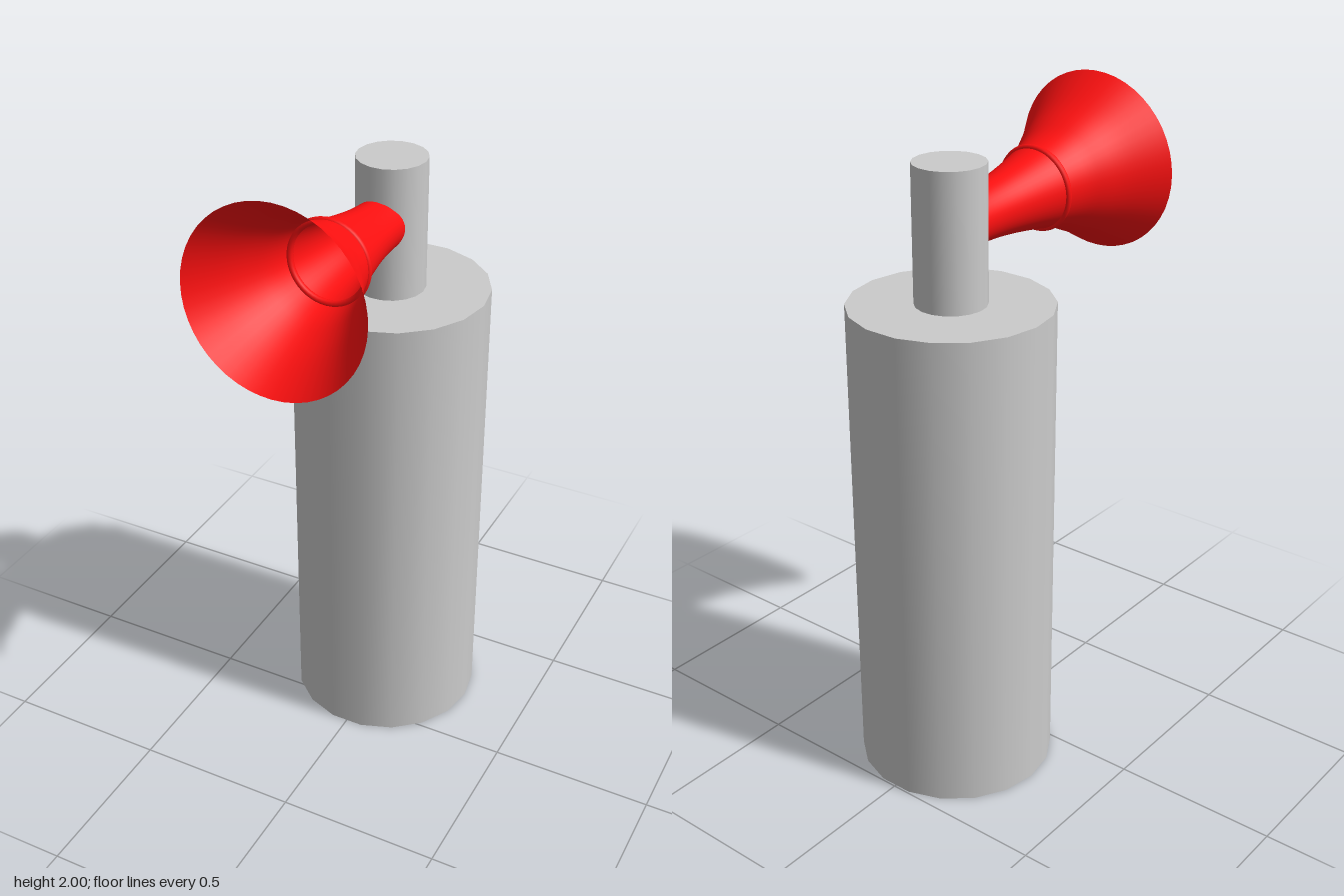
import * as THREE from 'three';

const AXIS_Z = -0.203;

export function createModel() {
  const model = new THREE.Group();
  model.name = 'airHorn';
  const grey = new THREE.MeshStandardMaterial({ color: 0xcccccc });
  const red = new THREE.MeshStandardMaterial({ color: 0xff1010, side: THREE.DoubleSide });

  // Upright 18-sided cylinders, with a corner on each side
  const cylinder = (name, radius, bottom, top) => {
    const mesh = new THREE.Mesh(new THREE.CylinderGeometry(radius, radius, top - bottom, 18), grey);
    mesh.name = name;
    mesh.rotation.y = Math.PI / 2;
    mesh.position.set(0, (bottom + top) / 2, AXIS_Z);
    model.add(mesh);
  };
  cylinder('canister', 0.295, 0, 1.475);
  cylinder('neck', 0.104, 1.475, 1.875);

  // Horn: local y runs along the bell, with the rim at y = 0
  const horn = new THREE.Group();
  horn.name = 'horn';
  horn.position.set(0, 1.73, 0.478);
  horn.rotation.x = Math.PI / 2 - 0.056;
  model.add(horn);

  // Flared open bell, given as [radius, distance along the axis]
  const flare = new THREE.SplineCurve([
    [0.076, -0.63], [0.078, -0.56], [0.086, -0.478], [0.103, -0.378], [0.122, -0.295],
    [0.142, -0.23], [0.167, -0.178], [0.192, -0.128], [0.221, -0.078], [0.27, 0],
  ].map(([r, y]) => new THREE.Vector2(r, y)));
  const bell = new THREE.Mesh(new THREE.LatheGeometry(flare.getPoints(24), 48), red);
  bell.name = 'bell';
  horn.add(bell);

  // Raised band around the bell
  const band = new THREE.Mesh(new THREE.TorusGeometry(0.118, 0.01, 10, 48), red);
  band.name = 'band';
  band.rotation.x = Math.PI / 2;
  band.position.y = -0.302;
  horn.add(band);

  return model;
}
